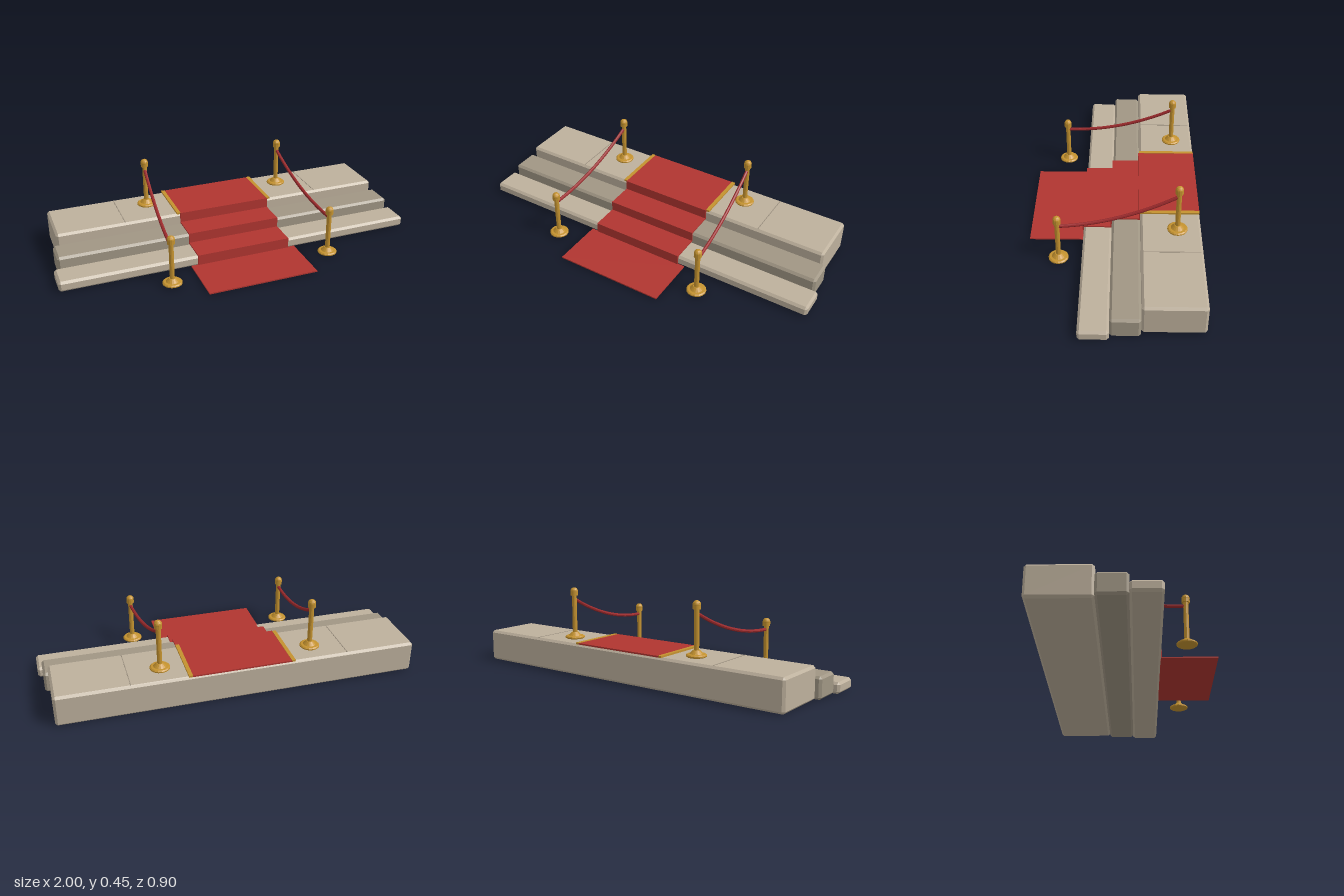
import * as THREE from 'three';
import { ConvexGeometry } from 'three/addons/geometries/ConvexGeometry.js';

const mat = (color) => new THREE.MeshStandardMaterial({ color, flatShading: true });
const stone = mat(0xbdb09c);
const darkStone = mat(0xa09684);
const seamStone = mat(0x9a8f7e);
const red = mat(0xb03530);
const ropeRed = mat(0x9c2a2c);
const gold = mat(0xc4922f);

function add(parent, name, geometry, material) {
  const mesh = new THREE.Mesh(geometry, material);
  mesh.name = name;
  parent.add(mesh);
  return mesh;
}

// Box given by its limits on each axis
function slab(parent, name, [x0, x1], [y0, y1], [z0, z1], material) {
  const mesh = add(parent, name, new THREE.BoxGeometry(x1 - x0, y1 - y0, z1 - z0), material);
  mesh.position.set((x0 + x1) / 2, (y0 + y1) / 2, (z0 + z1) / 2);
  return mesh;
}

// Block with every edge chamfered
function chamferBox(w, h, d, c) {
  const half = [w / 2, h / 2, d / 2];
  const points = [];
  for (const sx of [-1, 1]) for (const sy of [-1, 1]) for (const sz of [-1, 1]) {
    for (let full = 0; full < 3; full++) {
      const [x, y, z] = half.map((v, i) => (i === full ? v : v - c));
      points.push(new THREE.Vector3(x * sx, y * sy, z * sz));
    }
  }
  return new ConvexGeometry(points);
}

function createPost(name) {
  const post = new THREE.Group();
  post.name = name;
  // Stepped foot
  const foot = [[0, 0], [0.046, 0], [0.052, 0.004], [0.052, 0.01], [0.046, 0.015],
    [0.034, 0.016], [0.017, 0.034], [0, 0.034]].map(([r, y]) => new THREE.Vector2(r, y));
  add(post, 'foot', new THREE.LatheGeometry(foot, 16), gold);
  add(post, 'pole', new THREE.CylinderGeometry(0.013, 0.013, 0.21, 12), gold).position.y = 0.135;
  add(post, 'collar', new THREE.CylinderGeometry(0.0205, 0.0205, 0.024, 12), gold).position.y = 0.246;
  add(post, 'knob', new THREE.SphereGeometry(0.021, 12, 8), gold).position.y = 0.257;
  return post;
}

export function createModel() {
  const model = new THREE.Group();
  model.name = 'carpetedSteps';

  // Three steps, each with its own height and depth
  const steps = [
    { name: 'lowerStep', w: 1.995, h: 0.058, z: [0.012, 0.162], m: stone },
    { name: 'middleStep', w: 1.945, h: 0.113, z: [-0.137, 0.012], m: darkStone },
    { name: 'platform', w: 1.895, h: 0.168, z: [-0.447, -0.137], m: stone },
  ];
  for (const { name, w, h, z, m } of steps) {
    const step = add(model, name, chamferBox(w, h, z[1] - z[0], 0.012), m);
    step.position.set(0, h / 2, (z[0] + z[1]) / 2);
  }

  // Carpet: floor runner, then a riser and a tread for each step
  const carpet = new THREE.Group();
  carpet.name = 'carpet';
  model.add(carpet);
  const t = 0.007;
  slab(carpet, 'floorRunner', [-0.3, 0.3], [0.001, 0.008], [0.162, 0.449], red);
  let below = 0.001;
  for (const { h, z } of steps) {
    slab(carpet, 'riser', [-0.262, 0.262], [below, h + t], [z[1] - 0.001, z[1] + t - 0.001], red);
    slab(carpet, 'tread', [-0.262, 0.262], [h - 0.001, h + t], [z[0], z[1]], red);
    below = h;
  }

  for (const side of [-1, 1]) {
    const label = side > 0 ? 'left' : 'right';
    // Gold edging beside the upper carpet
    slab(model, label + 'Trim', [side * 0.27 - 0.01, side * 0.27 + 0.01], [0.167, 0.177], [-0.447, -0.137], gold);
    // Narrow joint across the platform
    slab(model, label + 'Seam', [side * 0.57 - 0.002, side * 0.57 + 0.002], [0.166, 0.1695], [-0.435, -0.149], seamStone);

    // Posts on the floor and on the platform
    const front = createPost(label + 'FrontPost');
    front.position.set(side * 0.443, 0.003, 0.285);
    const back = createPost(label + 'BackPost');
    back.position.set(side * 0.402, 0.168, -0.325);
    model.add(front, back);

    // Sagging rope between the posts
    const points = [];
    for (let i = 0; i <= 8; i++) {
      const k = i / 8;
      const p = front.position.clone().lerp(back.position, k);
      p.y += 0.215 - 0.16 * k * (1 - k);
      points.push(p);
    }
    const rope = new THREE.TubeGeometry(new THREE.CatmullRomCurve3(points), 16, 0.009, 8);
    add(model, label + 'Rope', rope, ropeRed);
  }
  return model;
}
